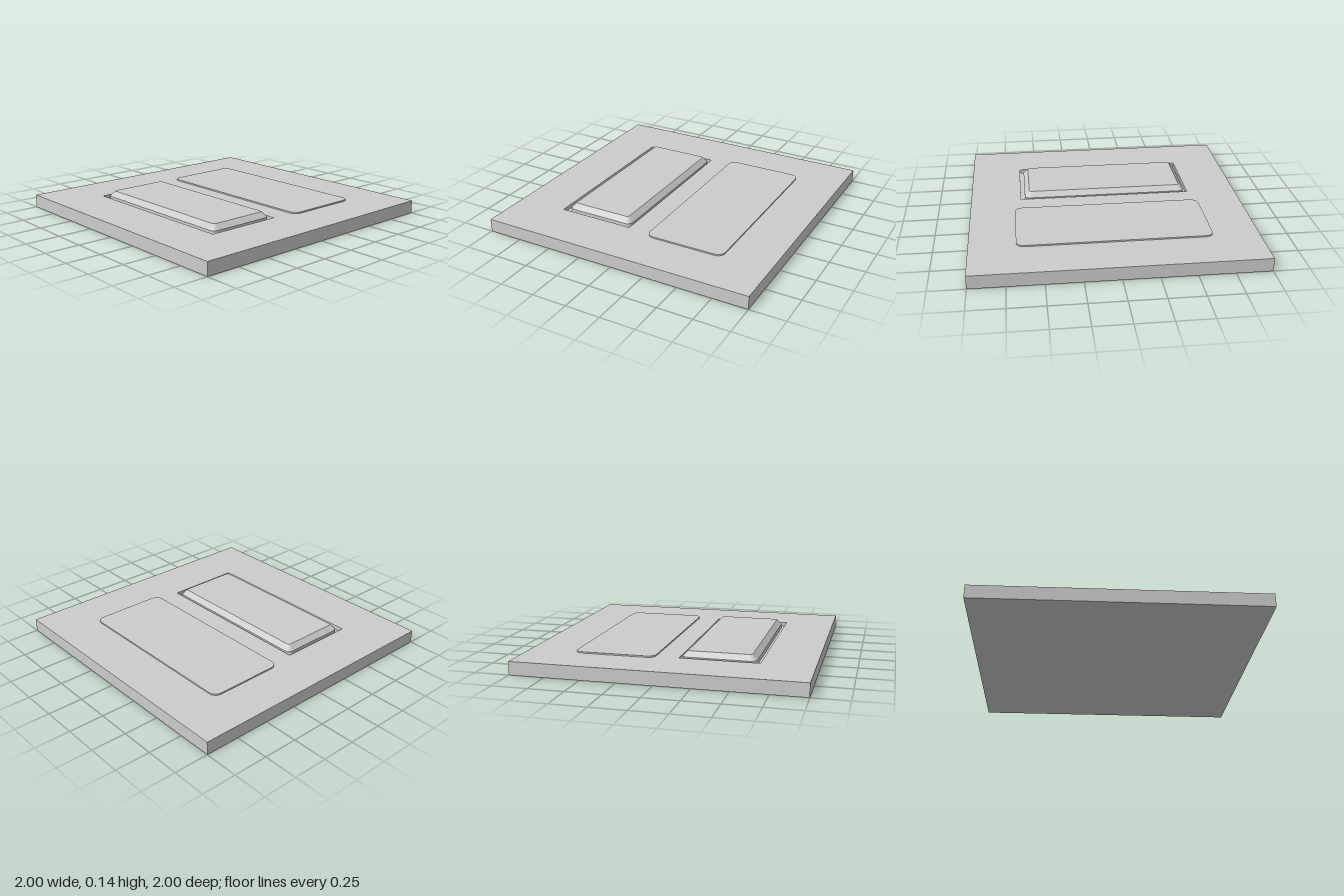
import * as THREE from 'three';

const material = new THREE.MeshStandardMaterial({ color: 0xcccccc, flatShading: true });
const BASE_TOP = 0.095;
const FLOOR = 0.065;

// Outline of a rounded rectangle as [x, z] points, running from +x towards +z
function roundedRect(hx, hz, r, steps = 5) {
  const points = [];
  const corners = [[1, 1], [-1, 1], [-1, -1], [1, -1]];
  corners.forEach(([sx, sz], c) => {
    for (let i = 0; i <= steps; i++) {
      const a = (c + i / steps) * Math.PI / 2;
      points.push([sx * (hx - r) + r * Math.cos(a), sz * (hz - r) + r * Math.sin(a)]);
    }
  });
  return points;
}

// Slab lofted through rounded rectangles [halfX, halfZ, radius, y], capped at both ends
function loft(sections) {
  const positions = [], index = [];
  const rings = sections.map(([hx, hz, r]) => roundedRect(hx, hz, r));
  const n = rings[0].length;
  rings.forEach((ring, k) => ring.forEach(([x, z]) => positions.push(x, sections[k][3], z)));
  for (let k = 0; k < rings.length - 1; k++) {
    for (let i = 0; i < n; i++) {
      const a = k * n + i, b = k * n + (i + 1) % n;
      index.push(a, a + n, b, b, a + n, b + n);
    }
  }
  const top = (rings.length - 1) * n;
  for (let i = 1; i < n - 1; i++) {
    index.push(top, top + i + 1, top + i);
    index.push(0, i, i + 1);
  }
  const indexed = new THREE.BufferGeometry();
  indexed.setAttribute('position', new THREE.Float32BufferAttribute(positions, 3));
  indexed.setIndex(index);
  const geometry = indexed.toNonIndexed();
  geometry.computeVertexNormals();
  return geometry;
}

export function createModel() {
  const group = new THREE.Group();
  const add = (name, geometry, x, y, z) => {
    const mesh = new THREE.Mesh(geometry, material);
    mesh.name = name;
    mesh.position.set(x, y, z);
    group.add(mesh);
    return mesh;
  };

  // Lower layer of the base, whose top is the recess floor
  add('baseSlab', new THREE.BoxGeometry(2, FLOOR, 2), 0, FLOOR / 2, 0);

  // Upper layer with the rectangular recess cut through it (shape y is -z)
  const outline = new THREE.Shape([[-1, -1], [1, -1], [1, 1], [-1, 1]].map(p => new THREE.Vector2(...p)));
  outline.holes.push(new THREE.Path(
    [[-0.635, -0.635], [-0.635, -0.078], [0.63, -0.078], [0.63, -0.635]].map(p => new THREE.Vector2(...p))));
  const layer = new THREE.ExtrudeGeometry(outline, { depth: BASE_TOP - FLOOR, bevelEnabled: false });
  layer.rotateX(-Math.PI / 2);
  add('recessedTopLayer', layer, 0, FLOOR, 0);

  // Bevelled plate standing in the recess
  add('bevelledPlate', loft([
    [0.607, 0.257, 0.04, FLOOR],
    [0.607, 0.257, 0.04, 0.098],
    [0.572, 0.222, 0.018, 0.135],
  ]), -0.007, 0, 0.347);

  // Thin raised panel at the back
  add('thinPanel', loft([
    [0.677, 0.287, 0.055, BASE_TOP - 0.01],
    [0.677, 0.287, 0.055, 0.105],
  ]), 0, 0, -0.372);

  return group;
}
